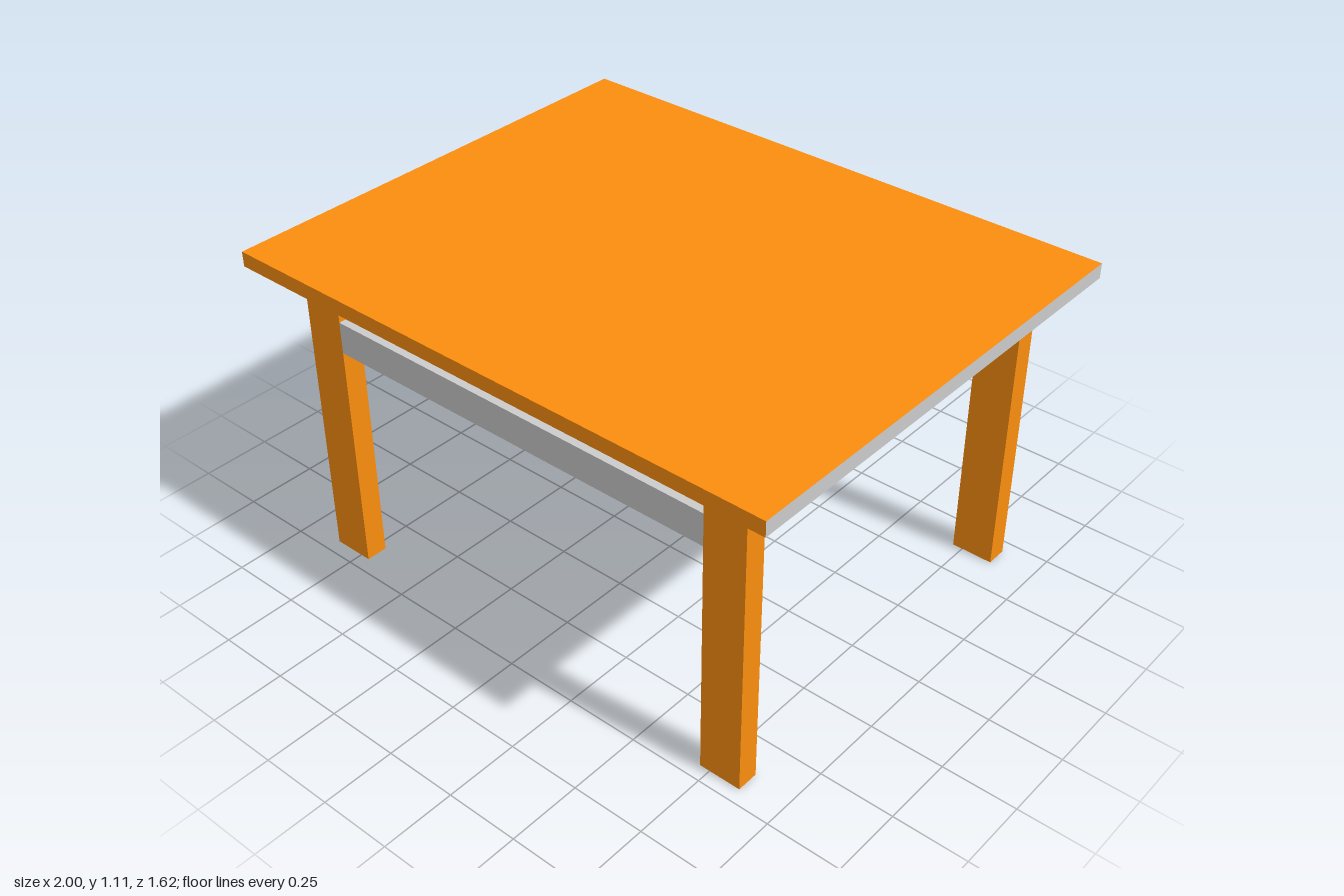
import * as THREE from 'three';

export function createModel() {
  const table = new THREE.Group();
  table.name = 'table';

  const orange = new THREE.MeshStandardMaterial({ color: 0xfb8e0f });
  const grey = new THREE.MeshStandardMaterial({ color: 0xcccccc });
  // Orange board with bare grey faces on its two x sides
  const greySided = [grey, grey, orange, orange, orange, orange];

  // Box given by its centre x, z, its bottom and top heights, and its width and depth
  function board(name, x, z, y0, y1, width, depth, material) {
    const mesh = new THREE.Mesh(new THREE.BoxGeometry(width, y1 - y0, depth), material);
    mesh.position.set(x, (y0 + y1) / 2, z);
    mesh.name = name;
    table.add(mesh);
  }

  const legX = 0.787, legZ = 0.6625, legWidth = 0.145, legDepth = 0.075;
  const topBottom = 1.062, railBottom = 0.815, railTop = 0.925;

  board('tableTop', 0, 0, topBottom, 1.113, 2, 1.62, greySided);

  for (const [end, sz] of [['front', 1], ['back', -1]]) {
    // Legs
    for (const [side, sx] of [['Left', 1], ['Right', -1]]) {
      board(`${end}${side}Leg`, sx * legX, sz * legZ, 0, topBottom, legWidth, legDepth, orange);
    }
    // Long rail between the two legs, flush with their faces
    board(`${end}Rail`, 0, sz * legZ, railBottom, railTop, 2 * legX - legWidth, legDepth, grey);
  }

  // Middle stretcher joining the two rails
  board('stretcher', 0, 0, railBottom, railTop, 0.14, 2 * legZ - legDepth, greySided);

  return table;
}
